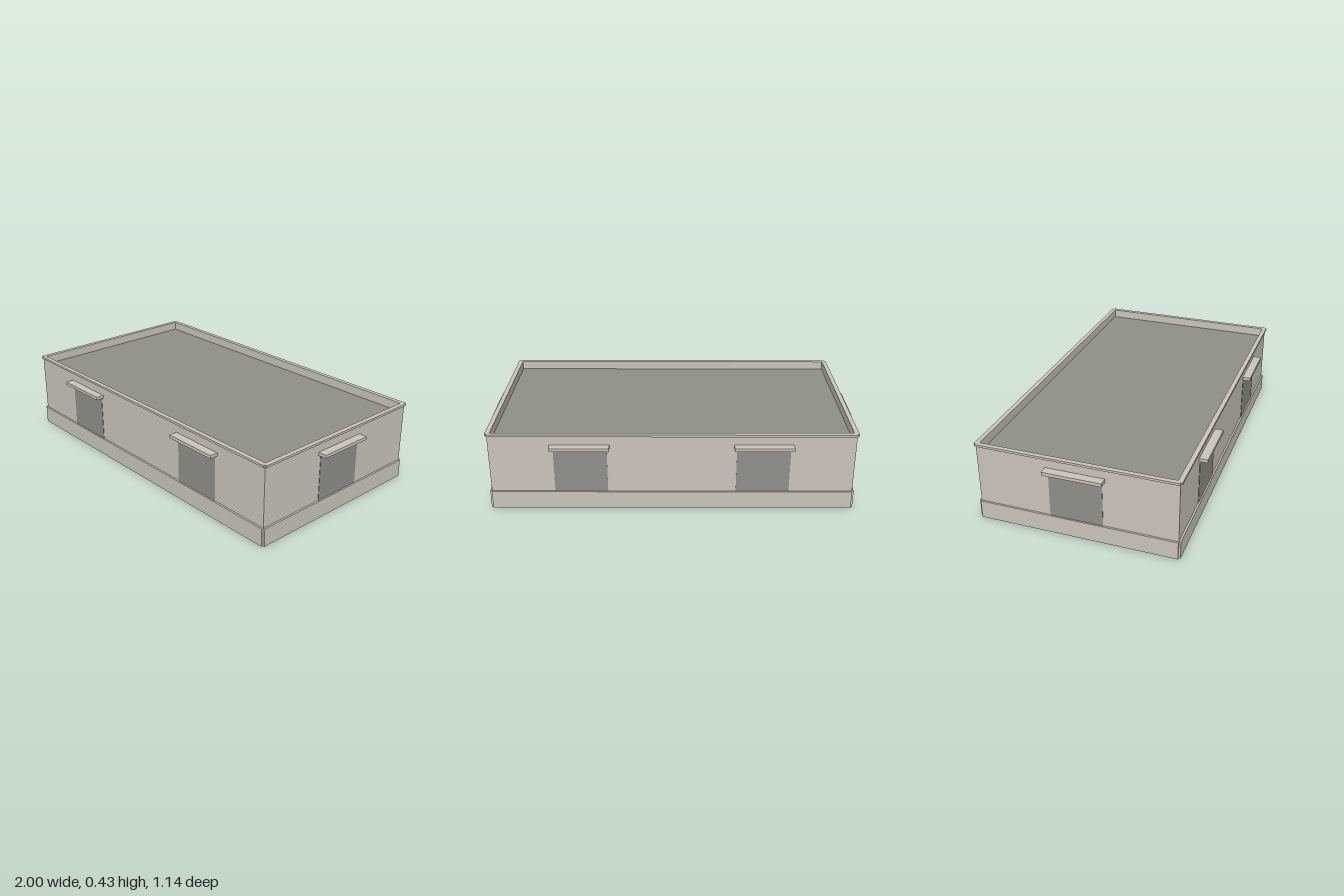
import * as THREE from 'three';

const wallMaterial = new THREE.MeshStandardMaterial({ color: 0xc9c4bc });
wallMaterial.name = 'pale stone';
const darkMaterial = new THREE.MeshStandardMaterial({ color: 0x8e8f89 });
darkMaterial.name = 'dark grey';

const WALL_X = 0.955, WALL_Z = 0.525; // half sizes of the outer wall faces

function box(name, material, w, h, d, x, y, z) {
  const mesh = new THREE.Mesh(new THREE.BoxGeometry(w, h, d), material);
  mesh.name = name;
  mesh.position.set(x, y, z);
  return mesh;
}

// Rectangular frame that stands out from the walls by `out`, with square notches at the corners
function ring(name, out, thickness, y0, y1) {
  const X = WALL_X + out, Z = WALL_Z + out;
  const corners = [];
  for (const [sx, sz] of [[1, 1], [-1, 1], [-1, -1], [1, -1]]) {
    const side = [sx * X, sz * WALL_Z];
    const end = [sx * WALL_X, sz * Z];
    const notch = [sx * WALL_X, sz * WALL_Z];
    if (out === 0) corners.push(notch);
    else corners.push(...(sx * sz > 0 ? [side, notch, end] : [end, notch, side]));
  }
  const toVectors = (points) => points.map(([x, z]) => new THREE.Vector2(x, z));
  const shape = new THREE.Shape(toVectors(corners));
  const ix = X - thickness, iz = Z - thickness;
  shape.holes.push(new THREE.Path(toVectors([[ix, iz], [ix, -iz], [-ix, -iz], [-ix, iz]])));
  const geometry = new THREE.ExtrudeGeometry(shape, { depth: y1 - y0, bevelEnabled: false });
  geometry.rotateX(-Math.PI / 2).translate(0, y0, 0);
  const mesh = new THREE.Mesh(geometry, wallMaterial);
  mesh.name = name;
  return mesh;
}

// Flush door panel with a small canopy, facing +z
function doorway() {
  const group = new THREE.Group();
  group.name = 'doorway';
  group.add(
    box('doorPanel', darkMaterial, 0.28, 0.258, 0.004, 0, 0.226, 0),
    box('canopy', wallMaterial, 0.31, 0.018, 0.045, 0, 0.363, 0.0225),
  );
  return group;
}

export function createModel() {
  const model = new THREE.Group();
  model.name = 'flatRoofedBuilding';

  // Walls, plinth and parapet cap
  model.add(
    ring('walls', 0, 0.015, 0.098, 0.423),
    ring('plinth', 0.01, 0.0101, 0, 0.098),
    ring('parapetCap', 0.01, 0.025, 0.421, 0.433),
  );

  // Sunken roof slab
  model.add(box('roof', darkMaterial, 1.89, 0.025, 1.03, 0, 0.372, 0));

  // Two doorways on each long side, one on each end
  for (const side of [1, -1]) {
    for (const x of [-0.478, 0.478]) {
      const door = doorway();
      door.position.set(x, 0, side * WALL_Z);
      door.rotation.y = side > 0 ? 0 : Math.PI;
      model.add(door);
    }
    const endDoor = doorway();
    endDoor.position.x = side * WALL_X;
    endDoor.rotation.y = side * Math.PI / 2;
    model.add(endDoor);
  }
  return model;
}
